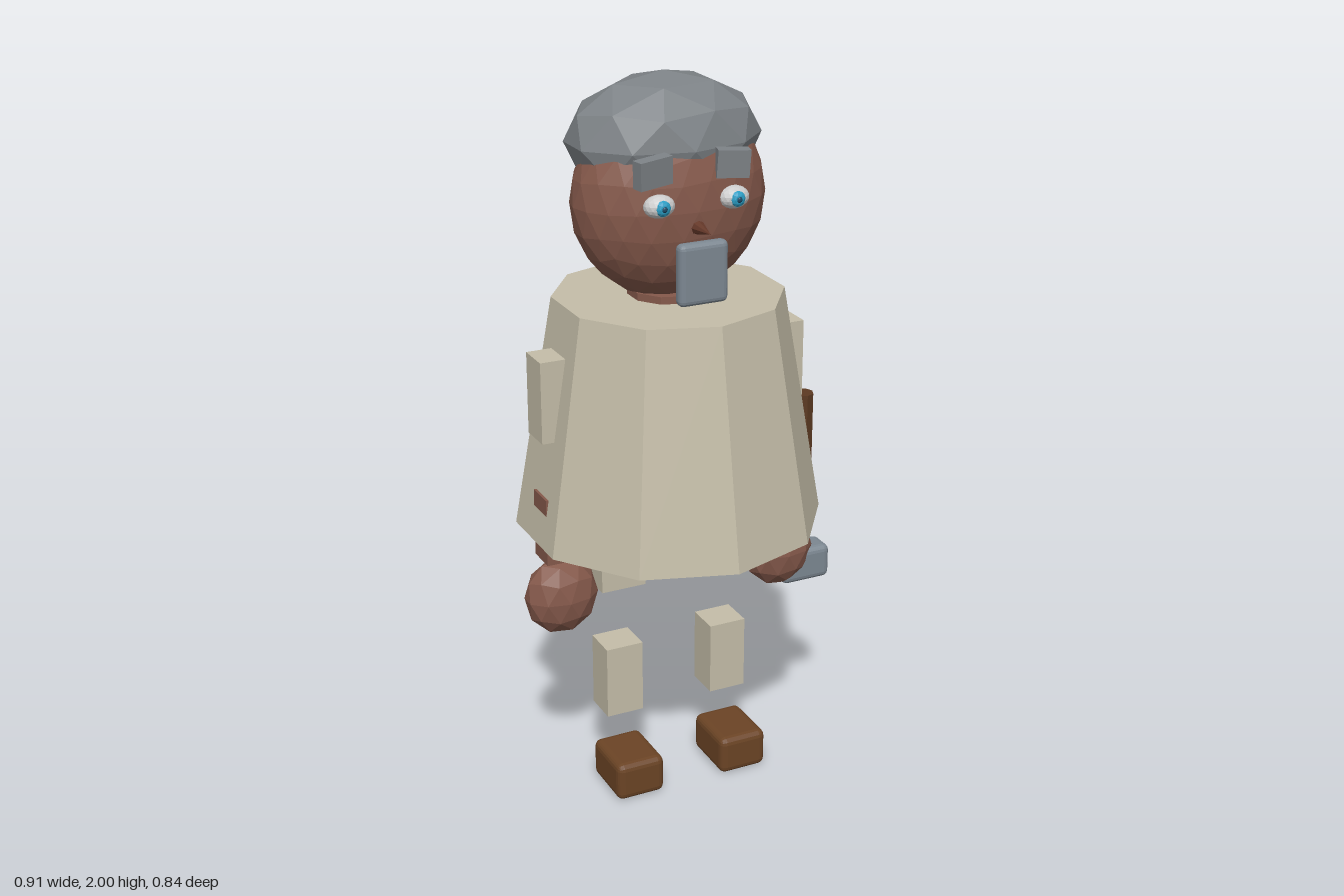
import * as THREE from 'three';
import { RoundedBoxGeometry } from 'three/addons/geometries/RoundedBoxGeometry.js';

const MID = -0.025; // symmetry plane of the body

const mat = (color) => new THREE.MeshStandardMaterial({ color, flatShading: true });
const cloth = mat(0xc4bda8), skin = mat(0x85594b), hairGrey = mat(0x7d8286), leather = mat(0x6b4425);
const wood = mat(0x5c3a22), metal = mat(0x7c8791), white = mat(0xf0f0ee), blue = mat(0x2a9dc4);
const dark = mat(0x1c4a66), noseBrown = mat(0x66392a);

export function createModel() {
  const model = new THREE.Group();
  model.name = 'figure';

  const add = (name, geometry, material, x, y, z) => {
    const mesh = new THREE.Mesh(geometry, material);
    mesh.name = name;
    mesh.position.set(x, y, z);
    model.add(mesh);
    return mesh;
  };
  const box = (name, material, w, h, d, x, y, z) =>
    add(name, new THREE.BoxGeometry(w, h, d), material, x, y, z);
  const softBox = (name, material, w, h, d, x, y, z, r = 0.015) =>
    add(name, new RoundedBoxGeometry(w, h, d, 2, r), material, x, y, z);
  // faceted ball with a corner pointing straight up, stretched to three radii
  const ball = (name, material, detail, rx, ry, rz, x, y, z) => {
    const geometry = new THREE.IcosahedronGeometry(1, detail);
    geometry.rotateZ(Math.atan(2 / (1 + Math.sqrt(5))));
    geometry.scale(rx, ry, rz);
    return add(name, geometry, material, x, y, z);
  };

  // robe and neck
  add('robe', new THREE.CylinderGeometry(0.31, 0.42, 0.64, 10), cloth, MID, 1.1, 0);
  add('neck', new THREE.CylinderGeometry(0.11, 0.11, 0.16, 10), skin, MID, 1.36, 0);

  // head and hair
  ball('head', skin, 3, 0.267, 0.267, 0.178, MID, 1.68, 0);
  ball('hair', hairGrey, 1, 0.267, 0.17, 0.19, MID, 1.83, -0.029);

  // face
  const nose = add('nose', new THREE.ConeGeometry(0.024, 0.09, 8), noseBrown, MID, 1.64, 0.198);
  nose.rotation.x = Math.PI / 2;
  softBox('beard', metal, 0.138, 0.164, 0.038, MID, 1.528, 0.195);

  for (const side of [-1, 1]) {
    const label = side > 0 ? 'left' : 'right';
    const at = (offset) => MID + side * offset;

    // eye, iris, pupil and brow
    ball(label + 'Eye', white, 2, 0.042, 0.03, 0.032, at(0.104), 1.705, 0.164);
    ball(label + 'Iris', blue, 1, 0.021, 0.021, 0.012, at(0.104), 1.705, 0.188);
    ball(label + 'Pupil', dark, 1, 0.008, 0.008, 0.006, at(0.104), 1.705, 0.197);
    const brow = box(label + 'Brow', hairGrey, side > 0 ? 0.085 : 0.1, 0.072, 0.033,
      side > 0 ? 0.073 : -0.147, 1.795, 0.168);
    brow.rotation.set(0.05, -side * 0.23, -side * 0.04);

    // arm
    box(label + 'UpperArm', cloth, 0.075, 0.225, 0.095, at(0.348), 1.183, -0.003);
    box(label + 'Forearm', skin, 0.1, 0.19, 0.085, at(0.335), 0.82, 0.015);
    ball(label + 'Hand', skin, 1, 0.104, 0.112, 0.07, at(0.333), 0.613, 0.02);

    // leg
    box(label + 'Thigh', cloth, 0.13, 0.21, 0.105, at(0.16), 0.71, -0.002);
    box(label + 'Shin', cloth, 0.108, 0.21, 0.1, at(0.16), 0.32, 0);
    softBox(label + 'Shoe', leather, 0.142, 0.112, 0.178, at(0.16), 0.057, 0.07, 0.02);
  }

  // hammer held head down in the left hand
  add('hammerHandle', new THREE.CylinderGeometry(0.032, 0.032, 0.5, 8), wood, 0.375, 0.825, 0.021);
  softBox('hammerHead', metal, 0.15, 0.1, 0.085, 0.383, 0.557, 0.019, 0.018);

  return model;
}
